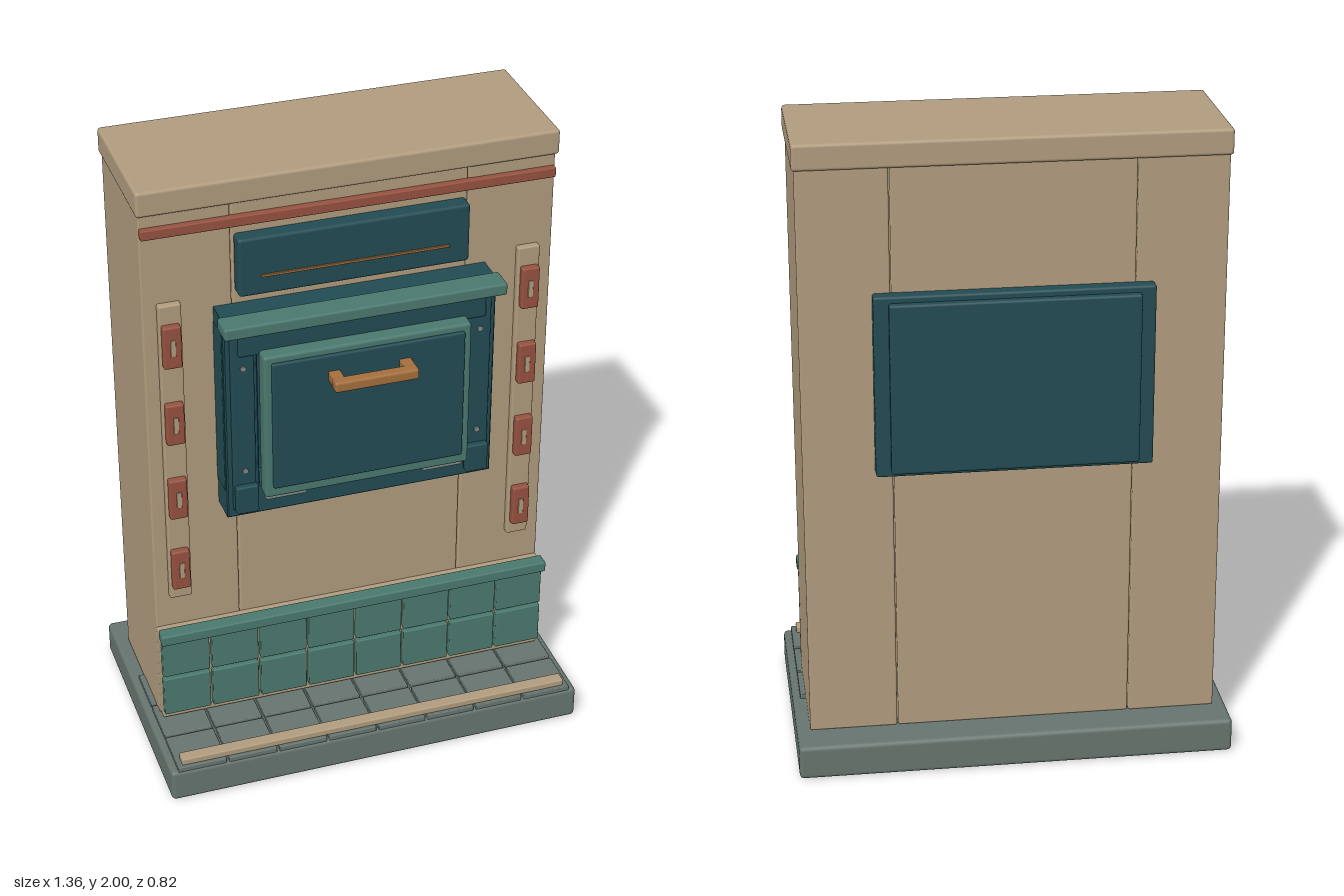
import * as THREE from 'three';
import { RoundedBoxGeometry } from 'three/addons/geometries/RoundedBoxGeometry.js';

const mat = (name, color) => {
  const m = new THREE.MeshStandardMaterial({ color });
  m.name = name;
  return m;
};

export function createModel() {
  const model = new THREE.Group();
  model.name = 'tiledStove';

  const plaster = mat('beige plaster', 0xb09b7d);
  const teal = mat('teal glaze', 0x4a786d);
  const iron = mat('dark teal iron', 0x214b52);
  const clay = mat('red clay', 0x96513f);
  const copper = mat('copper', 0xa36e3c);
  const slate = mat('grey slate', 0x66746e);
  const steel = mat('steel', 0x808a86);

  // Softly bevelled block given by its low and high limits on each axis
  const block = (name, material, x0, x1, y0, y1, z0, z1, bevel = 0.006, parent = model) => {
    const w = x1 - x0, h = y1 - y0, d = z1 - z0;
    const r = Math.min(bevel, Math.min(w, h, d) * 0.3);
    const mesh = new THREE.Mesh(new RoundedBoxGeometry(w, h, d, 2, r), material);
    mesh.position.set((x0 + x1) / 2, (y0 + y1) / 2, (z0 + z1) / 2);
    mesh.name = name;
    parent.add(mesh);
    return mesh;
  };
  // The same block on both sides of x = 0
  const pair = (name, material, x0, x1, ...rest) => {
    block(name + 'Left', material, x0, x1, ...rest);
    block(name + 'Right', material, -x1, -x0, ...rest);
  };

  // Plinth with paved hearth and its front rail
  block('plinth', slate, -0.68, 0.68, 0, 0.11, -0.41, 0.41, 0.014);
  const hearth = new THREE.Group();
  hearth.name = 'hearthTiles';
  model.add(hearth);
  for (let row = 0; row < 3; row++) {
    for (let col = 0; col < 8; col++) {
      const x = -0.66 + col * 0.165, z = -0.09 + row * 0.1667;
      block('hearthTile', slate, x + 0.004, x + 0.161, 0.105, 0.123, z + 0.004, z + 0.162, 0.003, hearth);
    }
  }
  block('hearthRail', plaster, -0.64, 0.64, 0.12, 0.144, 0.354, 0.394, 0.005);

  // Body in three upright sections under a cap
  block('bodyCentre', plaster, -0.363, 0.363, 0.11, 1.93, -0.299, 0.119);
  pair('bodySide', plaster, 0.366, 0.638, 0.11, 1.93, -0.3, 0.12);
  block('cap', plaster, -0.645, 0.645, 1.92, 2, -0.312, 0.135, 0.01);
  block('friezeBand', clay, -0.635, 0.635, 1.848, 1.88, 0.115, 0.139, 0.004);

  // Drawer panel above the oven, with a copper line
  block('upperPanel', iron, -0.357, 0.355, 1.63, 1.82, 0.115, 0.17, 0.01);
  block('upperPanelLine', copper, -0.29, 0.29, 1.69, 1.698, 0.167, 0.176, 0.002);

  // Side strips with clay vents and pale slots
  pair('sideStrip', plaster, 0.524, 0.594, 0.58, 1.627, 0.115, 0.142);
  for (const y of [0.697, 0.96, 1.228, 1.495]) {
    pair('clayVent', clay, 0.532, 0.588, y - 0.07, y + 0.07, 0.138, 0.165);
    pair('ventSlot', plaster, 0.551, 0.567, y - 0.028, y + 0.028, 0.16, 0.168, 0.002);
  }

  // Iron surround with an opening
  const rect = (shape, x, y0, y1) => shape
    .moveTo(-x, y0).lineTo(x, y0).lineTo(x, y1).lineTo(-x, y1).lineTo(-x, y0);
  const outline = rect(new THREE.Shape(), 0.42, 0.905, 1.585);
  outline.holes.push(rect(new THREE.Path(), 0.325, 1, 1.485));
  const frame = new THREE.Mesh(new THREE.ExtrudeGeometry(outline, {
    depth: 0.095, bevelThickness: 0.004, bevelSize: 0.004, bevelSegments: 1,
  }), iron);
  frame.position.z = 0.122;
  frame.name = 'ovenSurround';
  model.add(frame);
  block('ovenBack', iron, -0.34, 0.34, 0.98, 1.5, 0.115, 0.135, 0.003);
  pair('surroundFlange', iron, 0.412, 0.426, 0.99, 1.54, 0.12, 0.205, 0.003);
  pair('jamb', iron, 0.335, 0.406, 0.93, 1.54, 0.215, 0.236);
  block('lintel', iron, -0.385, 0.385, 1.475, 1.545, 0.215, 0.246);
  block('mantelShelf', teal, -0.436, 0.436, 1.56, 1.6, 0.204, 0.284, 0.008);
  pair('hingeBlock', iron, 0.333, 0.403, 0.93, 1.025, 0.225, 0.256);
  pair('hingePin', steel, 0.185, 0.315, 0.972, 0.998, 0.238, 0.268, 0.008);

  // Rivets on the jambs
  const rivet = new THREE.CylinderGeometry(0.009, 0.009, 0.01, 12).rotateX(Math.PI / 2);
  for (const x of [-0.37, 0.37]) {
    for (const y of [1.073, 1.432]) {
      const mesh = new THREE.Mesh(rivet, steel);
      mesh.position.set(x, y, 0.236);
      mesh.name = 'rivet';
      model.add(mesh);
    }
  }

  // Oven door with inner seal, raised panel and handle
  block('doorSeal', copper, -0.3, 0.3, 1.02, 1.46, 0.19, 0.24);
  block('doorFrame', teal, -0.323, 0.323, 0.997, 1.49, 0.234, 0.292, 0.01);
  block('doorPanel', iron, -0.3, 0.3, 1.032, 1.468, 0.28, 0.302, 0.008);
  pair('handlePost', copper, 0.092, 0.128, 1.381, 1.414, 0.295, 0.36, 0.004);
  block('handleBar', copper, -0.13, 0.13, 1.38, 1.415, 0.338, 0.375, 0.008);

  // Rear of the firebox
  block('rearPlate', iron, -0.42, 0.42, 0.97, 1.54, -0.338, -0.29, 0.008);
  block('rearCover', iron, -0.375, 0.375, 0.985, 1.52, -0.36, -0.33, 0.008);

  // Glazed skirting: backing, two rows of tiles and a ledge
  block('skirtingBacking', plaster, -0.638, 0.638, 0.13, 0.465, 0.115, 0.16);
  const skirting = new THREE.Group();
  skirting.name = 'skirtingTiles';
  model.add(skirting);
  for (const y of [0.158, 0.308]) {
    for (let col = 0; col < 8; col++) {
      const x = -0.64 + col * 0.16;
      block('skirtingTile', teal, x + 0.004, x + 0.156, y, y + 0.139, 0.152, 0.181, 0.004, skirting);
    }
  }
  block('skirtingLedge', teal, -0.641, 0.641, 0.446, 0.483, 0.157, 0.204, 0.006);

  return model;
}
